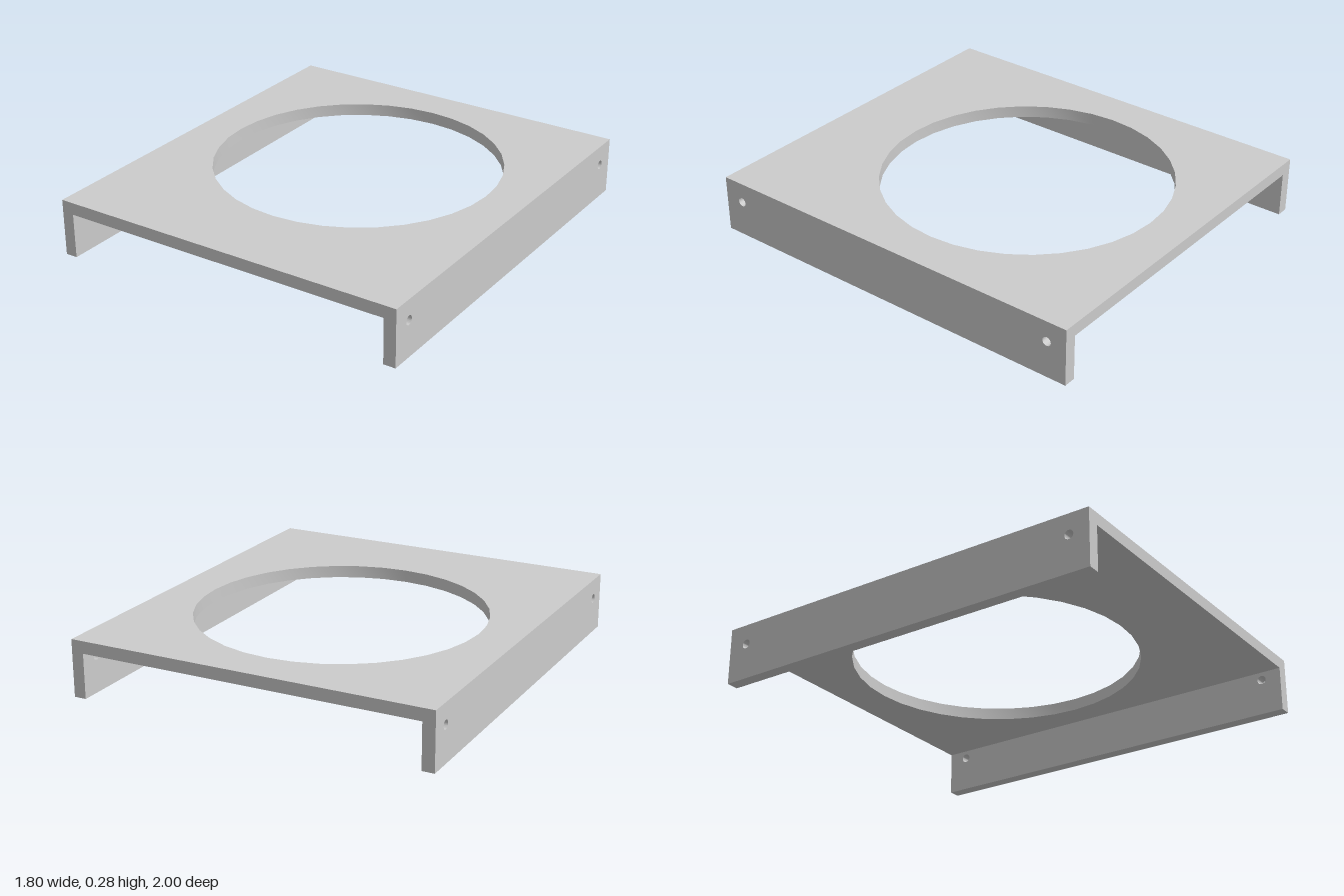
import * as THREE from 'three';
import { toCreasedNormals } from 'three/addons/utils/BufferGeometryUtils.js';

const WIDTH = 1.8, LENGTH = 2, HEIGHT = 0.28, THICK = 0.06;

// Rectangular sheet of constant thickness with round holes [x, y, radius]
function sheet(x0, y0, x1, y1, holes, segments) {
  const shape = new THREE.Shape([
    new THREE.Vector2(x0, y0), new THREE.Vector2(x1, y0),
    new THREE.Vector2(x1, y1), new THREE.Vector2(x0, y1),
  ]);
  for (const [x, y, r] of holes) {
    shape.holes.push(new THREE.Path().absarc(x, y, r, 0, Math.PI * 2, true));
  }
  const geometry = new THREE.ExtrudeGeometry(shape, {
    depth: THICK, bevelEnabled: false, curveSegments: segments / 2,
  });
  return toCreasedNormals(geometry, 0.5);
}

export function createModel() {
  const group = new THREE.Group();
  group.name = 'bracket';
  const material = new THREE.MeshStandardMaterial({ color: 0xcccccc });

  const add = (name, geometry) => {
    const mesh = new THREE.Mesh(geometry, material);
    mesh.name = name;
    group.add(mesh);
  };

  // Top plate with the large opening, set slightly towards the back
  const plate = sheet(-WIDTH / 2, -LENGTH / 2, WIDTH / 2, LENGTH / 2, [[0, 0.1, 0.7]], 36);
  plate.rotateX(-Math.PI / 2).translate(0, HEIGHT - THICK, 0);
  add('topPlate', plate);

  // Side flanges with a screw hole near each end
  const screwHoles = [[-0.9, 0.18, 0.022], [0.9, 0.18, 0.022]];
  for (const [name, x] of [['leftFlange', WIDTH / 2 - THICK], ['rightFlange', -WIDTH / 2]]) {
    const flange = sheet(-LENGTH / 2, 0, LENGTH / 2, HEIGHT - THICK, screwHoles, 24);
    flange.rotateY(Math.PI / 2).translate(x, 0, 0);
    add(name, flange);
  }
  return group;
}
